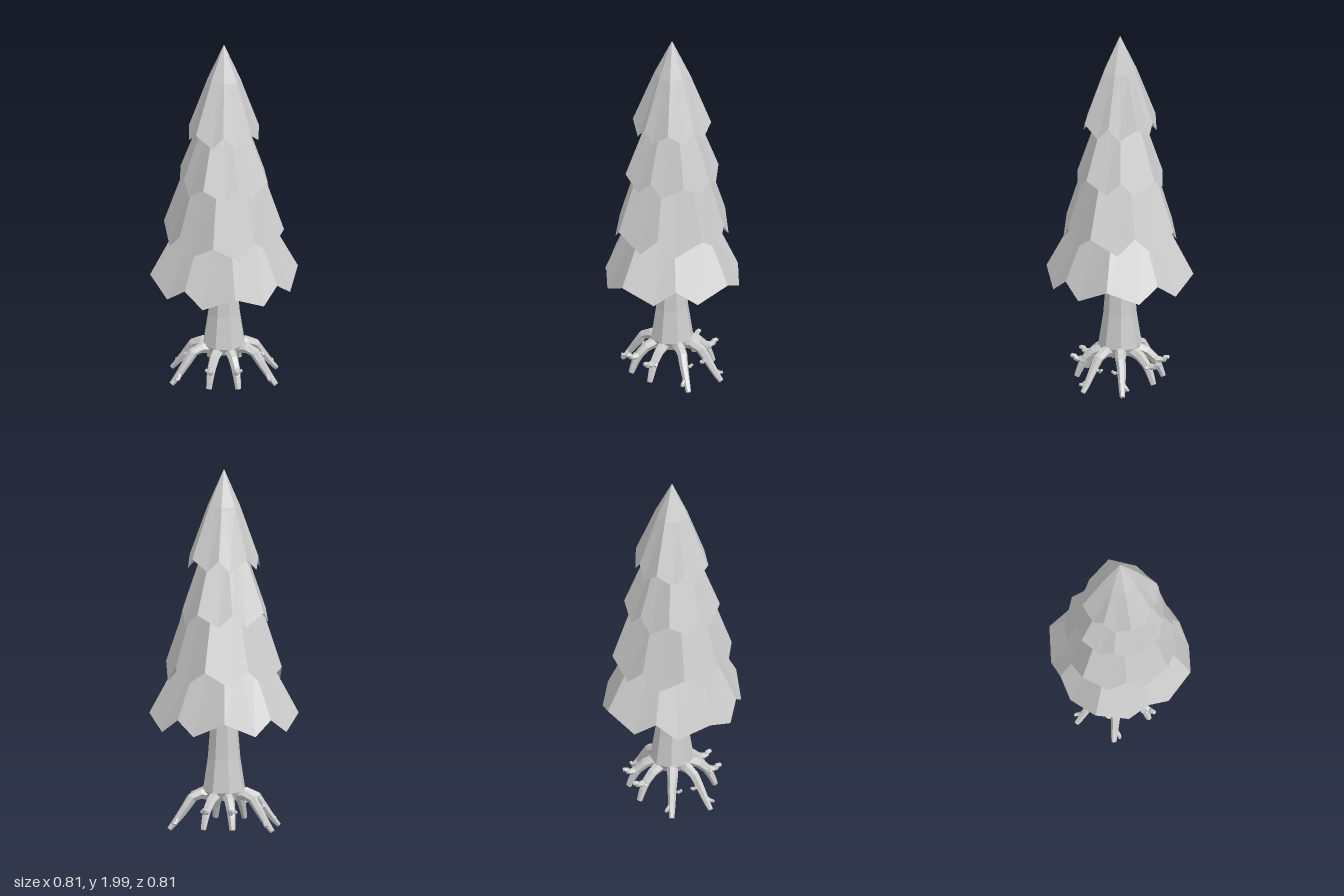
import * as THREE from 'three';

const V = (x, y, z) => new THREE.Vector3(x, y, z);
const rad = THREE.MathUtils.degToRad;

// Skin a stack of rings (counter-clockwise around the path) with flat facets
function loft(rings) {
  const pos = [];
  const tri = (a, b, c) => {
    if (a.distanceTo(b) > 1e-6 && b.distanceTo(c) > 1e-6 && c.distanceTo(a) > 1e-6) {
      for (const p of [a, b, c]) pos.push(p.x, p.y, p.z);
    }
  };
  for (let i = 0; i + 1 < rings.length; i++) {
    const lo = rings[i], up = rings[i + 1], n = lo.length;
    for (let j = 0; j < n; j++) {
      const k = (j + 1) % n;
      tri(lo[j], lo[k], up[k]);
      tri(lo[j], up[k], up[j]);
    }
  }
  const geo = new THREE.BufferGeometry();
  geo.setAttribute('position', new THREE.Float32BufferAttribute(pos, 3));
  geo.computeVertexNormals();
  return geo;
}

// Horizontal ring of a tier: four outer corners, four inner corners and the
// eight leaf tips between them, which hang down by drop
function tierRing(r, y, turn, drop = 0, tipScale = 0) {
  const ring = [];
  const point = (rr, deg, yy) => V(rr * Math.cos(rad(deg)), yy, -rr * Math.sin(rad(deg)));
  for (let q = 0; q < 4; q++) {
    const base = turn + q * 90;
    const outer = point(r, base, y);
    const inner = point(r * 0.885, base + 45, y);
    const next = point(r, base + 90, y);
    const tip = (end, deg) => tipScale
      ? point(r * tipScale, base + deg, y - drop)
      : inner.clone().lerp(end, 0.42);
    ring.push(outer, tip(outer, 26.5), inner, tip(next, 63.5));
  }
  return ring;
}

// Tapered limb swept along points, closed at both ends
function limb(points, r0, r1, sides = 6) {
  const curve = new THREE.CatmullRomCurve3(points);
  const steps = points.length + 1;
  const rings = [];
  for (let i = 0; i <= steps; i++) {
    const t = i / steps;
    const c = curve.getPoint(t);
    const dir = curve.getTangent(t);
    const side = V(-points[0].z, 0, points[0].x).normalize();
    const u = side.addScaledVector(dir, -side.dot(dir)).normalize();
    const v = dir.clone().cross(u);
    const r = THREE.MathUtils.lerp(r0, r1, t);
    const ring = Array.from({ length: sides }, (_, k) => {
      const a = (k / sides) * Math.PI * 2;
      return c.clone().addScaledVector(u, r * Math.cos(a)).addScaledVector(v, r * Math.sin(a));
    });
    const cap = Array.from({ length: sides }, () => c.clone());
    if (i === 0) rings.push(cap);
    rings.push(ring);
    if (i === steps) rings.push(cap);
  }
  return loft(rings);
}

export function createModel() {
  const model = new THREE.Group();
  model.name = 'pineTree';
  const grey = new THREE.MeshStandardMaterial({ color: 0xcccccc });
  grey.name = 'paleGrey';
  const add = (parent, name, geo) => {
    const mesh = new THREE.Mesh(geo, grey);
    mesh.name = name;
    parent.add(mesh);
  };

  // Foliage: four ragged skirts; under = [radius, y] where the underside ends
  const tiers = [
    { name: 'topTier', r: 0.215, y: 1.52, drop: 0.065, turn: 45, under: [0.12, 1.56], top: [[0.1, 1.8], [0, 2]] },
    { name: 'upperTier', r: 0.262, y: 1.225, drop: 0.07, turn: 65, under: [0.19, 1.27], top: [[0.13, 1.56]] },
    { name: 'middleTier', r: 0.333, y: 0.92, drop: 0.09, turn: 80.3, under: [0.23, 0.96], top: [[0.21, 1.27]] },
    { name: 'bottomTier', r: 0.408, y: 0.65, drop: 0.08, turn: 9.1, under: [0.05, 0.78], top: [[0.24, 0.96]] },
  ];
  for (const t of tiers) {
    add(model, t.name, loft([
      tierRing(...t.under, t.turn),
      tierRing(t.r, t.y, t.turn, t.drop, 0.93),
      ...t.top.map(([r, y]) => tierRing(r, y, t.turn)),
    ]));
  }

  // Trunk: eight-sided and flared at the foot
  const trunkRing = ([r, y]) => Array.from({ length: 8 }, (_, k) => {
    const a = rad(22.5 + k * 45);
    return V(r * Math.cos(a), y, -r * Math.sin(a));
  });
  add(model, 'trunk', loft(
    [[0, 0.17], [0.095, 0.175], [0.12, 0.22], [0.092, 0.4], [0.074, 0.62], [0.066, 0.85]].map(trunkRing),
  ));

  // Roots: two kinds, each mirrored to all four quarters
  const roots = [
    { name: 'sideRoot', r: [0.034, 0.014], path: [[0.06, 0.2, 0.025], [0.15, 0.2, 0.055], [0.2, 0.135, 0.08], [0.25, 0.06, 0.1], [0.285, 0.016, 0.115]] },
    { name: 'sideRootSpur', r: [0.014, 0.008], path: [[0.2, 0.13, 0.075], [0.205, 0.12, 0.045], [0.215, 0.135, 0.03]] },
    { name: 'sideRootTwig', r: [0.013, 0.008], path: [[0.24, 0.075, 0.1], [0.25, 0.05, 0.13], [0.265, 0.055, 0.14]] },
    { name: 'endRoot', r: [0.034, 0.016], path: [[0.025, 0.2, 0.06], [0.045, 0.19, 0.115], [0.065, 0.14, 0.175], [0.075, 0.08, 0.205], [0.08, 0.035, 0.222]] },
    { name: 'endRootClaw', r: [0.02, 0.01], path: [[0.065, 0.135, 0.18], [0.07, 0.13, 0.225], [0.073, 0.15, 0.243], [0.075, 0.145, 0.258]] },
    { name: 'endRootTwig', r: [0.014, 0.009], path: [[0.06, 0.14, 0.17], [0.085, 0.125, 0.185], [0.098, 0.135, 0.19]] },
  ];
  const rootGroup = new THREE.Group();
  rootGroup.name = 'roots';
  model.add(rootGroup);
  for (const sx of [1, -1]) {
    for (const sz of [1, -1]) {
      for (const { name, r, path } of roots) {
        add(rootGroup, name, limb(path.map(([x, y, z]) => V(x * sx, y, z * sz)), ...r));
      }
    }
  }
  return model;
}
